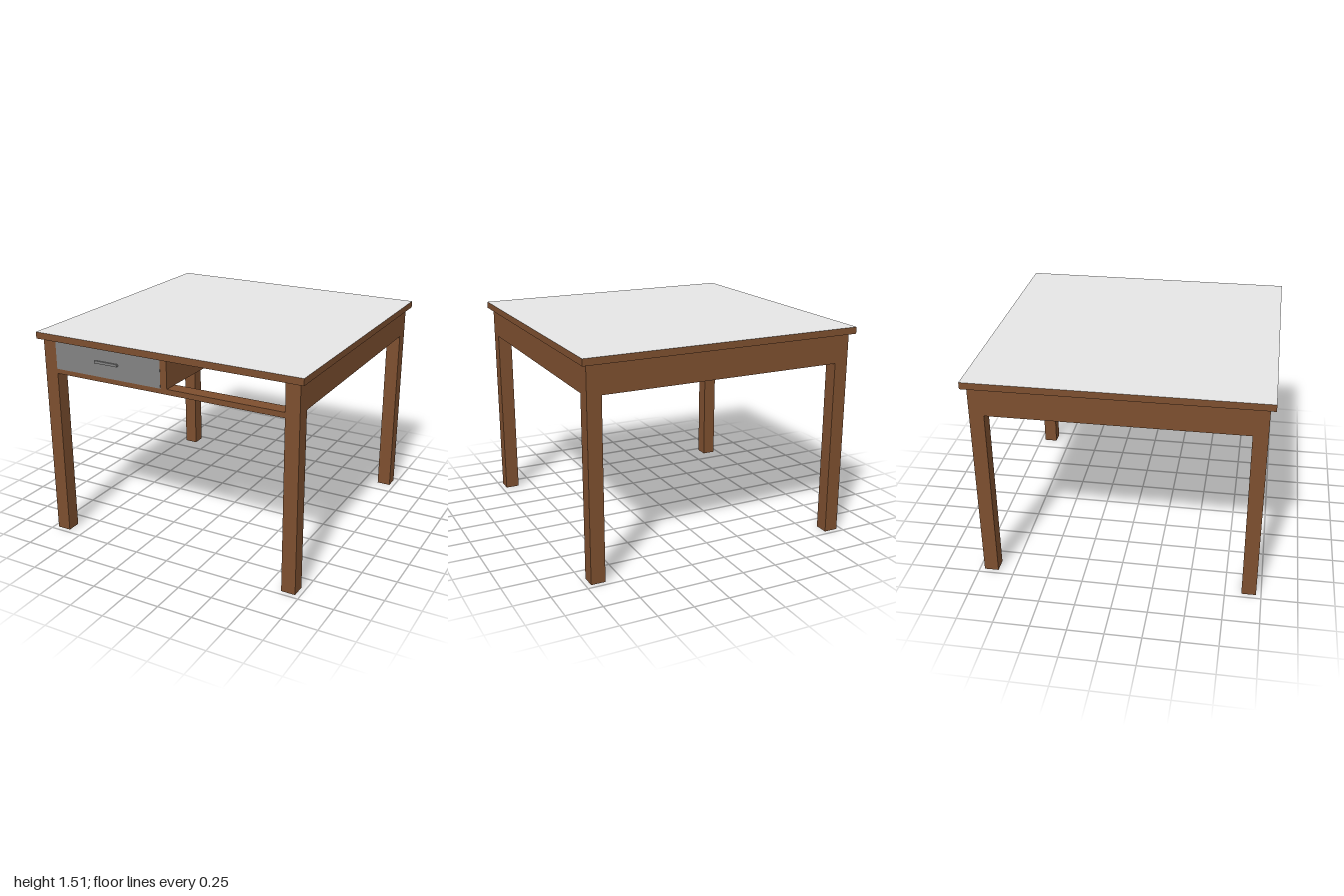
import * as THREE from 'three';

const mat = (name, color) => {
  const m = new THREE.MeshStandardMaterial({ color });
  m.name = name;
  return m;
};

export function createModel() {
  const wood = mat('brown wood', 0x7d4f2f);
  const grey = mat('drawer grey', 0x828282);
  const pale = mat('pale worktop', 0xe6e6e6);
  const group = new THREE.Group();
  group.name = 'table';

  // Box given by its min and max corners
  const box = (name, x0, x1, y0, y1, z0, z1, material, parent = group) => {
    const mesh = new THREE.Mesh(new THREE.BoxGeometry(x1 - x0, y1 - y0, z1 - z0), material);
    mesh.position.set((x0 + x1) / 2, (y0 + y1) / 2, (z0 + z1) / 2);
    mesh.name = name;
    parent.add(mesh);
  };
  // Box materials in the order +x, -x, +y, -y, +z, -z, with one face different
  const faces = (index, special) => Array.from({ length: 6 }, (_, i) => (i === index ? special : wood));

  const outer = 0.965, inner = 0.865, under = 1.463, apronY = 1.26, t = 0.035;

  // Tabletop with a pale upper surface
  box('tabletop', -1, 1, under, 1.51, -1, 1, faces(2, pale));

  // Legs with grey feet, and side aprons flush with them
  for (const sx of [-1, 1]) {
    const cx = sx * (outer + inner) / 2, ax = sx * (outer - t / 2);
    for (const sz of [-1, 1]) {
      const cz = sz * (outer + inner) / 2;
      box(sz > 0 ? 'frontLeg' : 'backLeg', cx - 0.05, cx + 0.05, 0, under, cz - 0.05, cz + 0.05, faces(3, grey));
    }
    box('sideApron', ax - t / 2, ax + t / 2, apronY, under, -inner, inner, wood);
  }
  box('backApron', -inner, inner, apronY, under, -outer, -outer + t, wood);

  // Front rail as deep as the legs, grey on its inner face, and the divider
  box('frontRail', -inner, inner, 1.222, apronY, inner, outer, faces(5, grey));
  box('divider', -0.028, 0.022, apronY, under, -0.02, outer, wood);

  // Drawer: thin front and sides, inward-facing back
  const drawer = new THREE.Group();
  drawer.name = 'drawer';
  group.add(drawer);
  const x0 = -0.864, x1 = -0.029, y0 = 1.262, y1 = 1.455, zb = 0.08, zf = 0.952;
  box('drawerFront', -0.866, -0.027, 1.256, under, zf, outer + 0.001, grey, drawer);
  for (const x of [x0, x1 - 0.014]) box('drawerSide', x, x + 0.014, y0, y1, zb, zf, grey, drawer);
  const back = new THREE.Mesh(new THREE.PlaneGeometry(x1 - x0, y1 - y0), grey);
  back.position.set((x0 + x1) / 2, (y0 + y1) / 2, zb);
  back.name = 'drawerBack';
  drawer.add(back);

  // Handle bar on two short posts fixed through the drawer front
  box('handleBar', -0.535, -0.355, 1.354, 1.372, 0.972, 0.983, grey, drawer);
  for (const x of [-0.529, -0.361]) {
    box('handlePost', x - 0.006, x + 0.006, 1.356, 1.37, zf - 0.002, 0.973, grey, drawer);
  }

  return group;
}
